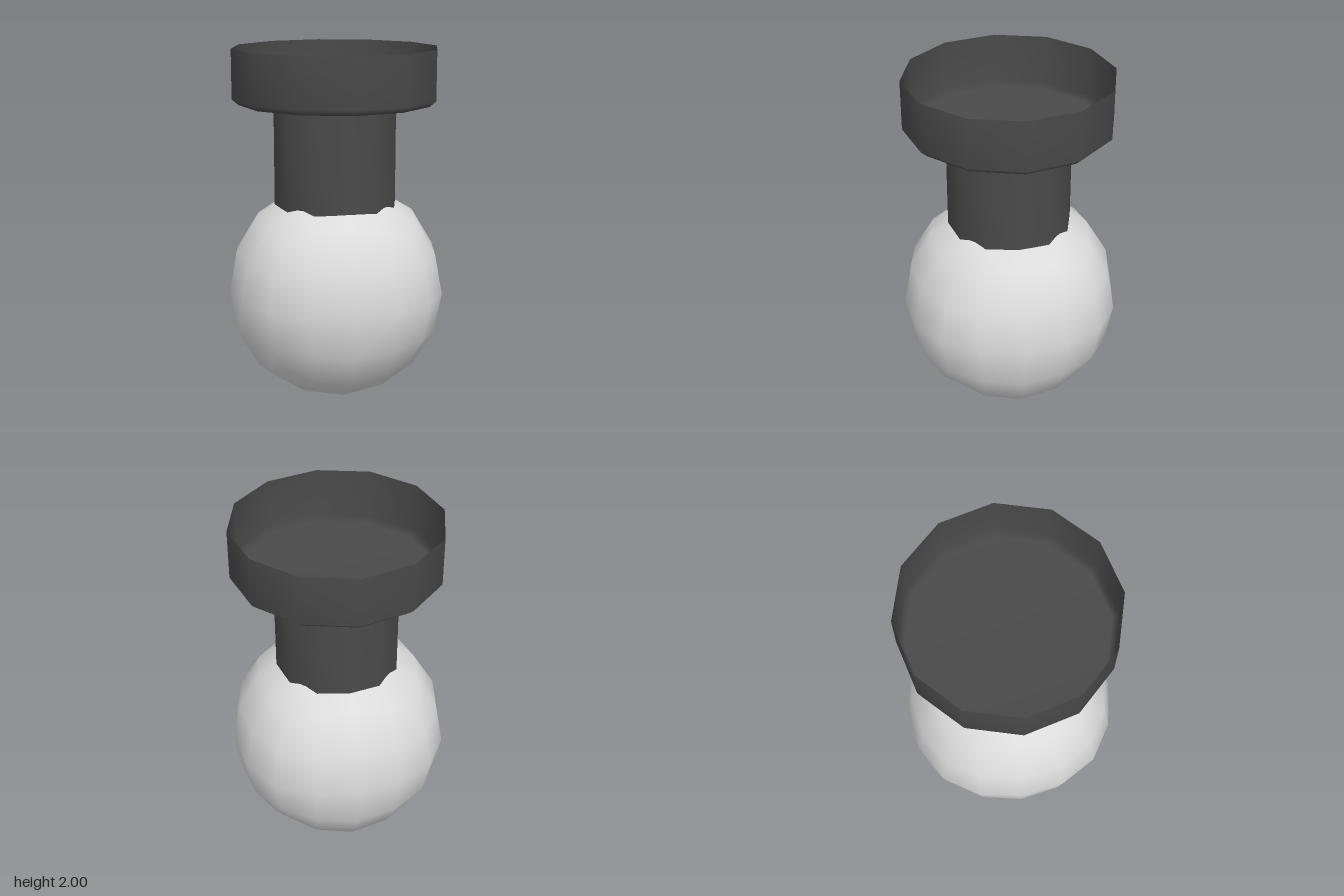
import * as THREE from 'three';
import { mergeVertices } from 'three/addons/utils/BufferGeometryUtils.js';

// Weld a geometry so that its normals are smooth and weighted by face area
function smooth(geometry) {
  geometry.deleteAttribute('uv');
  geometry.deleteAttribute('normal');
  const welded = mergeVertices(geometry, 1e-4);
  welded.computeVertexNormals();
  return welded;
}

// Cube subdivided into a ball: each grid point moves by its sorted grid distances
function ballGeometry() {
  const rule = {
    200: [0, 0, 0.613],
    210: [0, 0.245, 0.572],
    211: [0, 0.228, 0.533],
    220: [0, 0, 0.449],
    221: [0, 0.211, 0.418],
    222: [0, 0, 0.355],
  };
  const geometry = new THREE.BoxGeometry(4, 4, 4, 4, 4, 4);
  const pos = geometry.attributes.position;
  for (let i = 0; i < pos.count; i++) {
    const p = [pos.getX(i), pos.getY(i), pos.getZ(i)].map(Math.round);
    const key = p.map(Math.abs).sort().reverse().join('');
    pos.setXYZ(i, ...p.map((c) => Math.sign(c) * rule[key][Math.abs(c)]));
  }
  return smooth(geometry);
}

// Twelve-sided turned surface from [radius, height] pairs
function turned(profile) {
  return smooth(new THREE.LatheGeometry(profile.map(([r, y]) => new THREE.Vector2(r, y)), 12));
}

export function createModel() {
  const white = new THREE.MeshStandardMaterial({ color: 0xdcdcdc });
  white.name = 'pale grey';
  const dark = new THREE.MeshStandardMaterial({ color: 0x4a4a4a, side: THREE.DoubleSide });
  dark.name = 'dark grey';

  const model = new THREE.Group();
  const add = (name, geometry, material) => {
    const mesh = new THREE.Mesh(geometry, material);
    mesh.name = name;
    model.add(mesh);
    return mesh;
  };

  // Round globe standing on the ground
  add('globe', ballGeometry(), white).position.y = 0.613;

  // Neck running from inside the globe up to the cup
  add('neck', turned([[0.35, 1.0], [0.35, 1.688]]), dark);

  // Open cup with a bevelled foot
  add('cup', turned([[0, 1.69], [0.545, 1.69], [0.582, 1.722], [0.582, 2]]), dark);

  return model;
}
